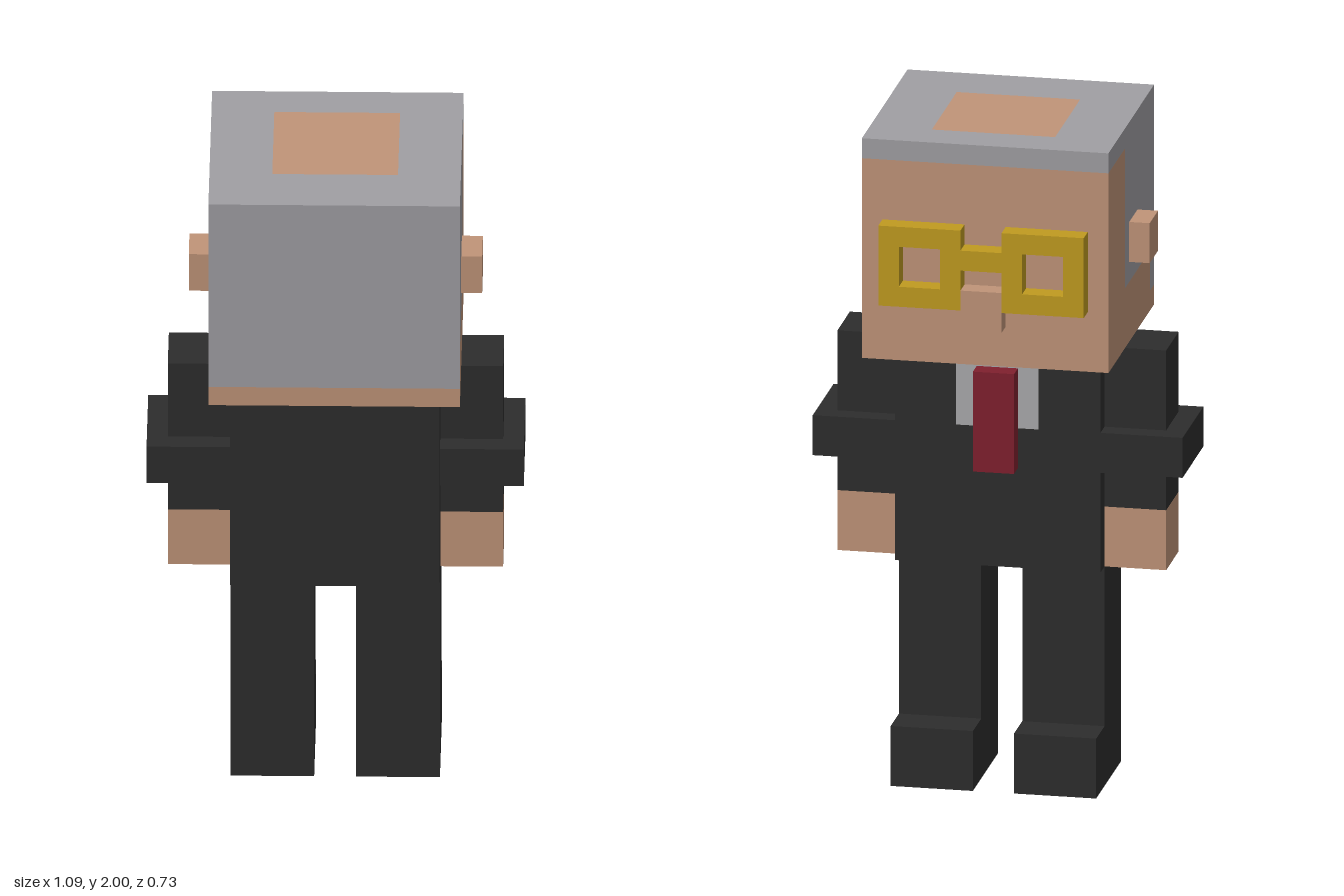
import * as THREE from 'three';

const U = 2 / 33; // one block unit

const mat = (name, color) => {
  const m = new THREE.MeshStandardMaterial({ color });
  m.name = name;
  return m;
};

// Shape from corner points in block units, with optional holes
function outline(points, holes = []) {
  const toVec = (p) => new THREE.Vector2(p[0] * U, p[1] * U);
  const shape = new THREE.Shape(points.map(toVec));
  for (const h of holes) shape.holes.push(new THREE.Path(h.map(toVec)));
  return shape;
}

const rect = (x0, y0, x1, y1) => [[x0, y0], [x1, y0], [x1, y1], [x0, y1]];

const extrude = (shape, depth) =>
  new THREE.ExtrudeGeometry(shape, { depth: depth * U, bevelEnabled: false });

export function createModel() {
  const model = new THREE.Group();
  model.name = 'blockMan';

  const skin = mat('skin', 0xc09478);
  const hair = mat('greyHair', 0xa09fa3);
  const black = mat('blackSuit', 0x2d2d2d);
  const gold = mat('goldFrame', 0xc09b20);
  const red = mat('redTie', 0x80202e);
  const shirt = mat('shirt', 0xaaaaac);

  const add = (name, geometry, material, parent = model) => {
    const mesh = new THREE.Mesh(geometry, material);
    mesh.name = name;
    parent.add(mesh);
    return mesh;
  };

  // Box given by its extents in block units
  const box = (name, material, [x0, x1], [y0, y1], [z0, z1], parent = model) => {
    const g = new THREE.BoxGeometry((x1 - x0) * U, (y1 - y0) * U, (z1 - z0) * U);
    g.translate(((x0 + x1) / 2) * U, ((y0 + y1) / 2) * U, ((z0 + z1) / 2) * U);
    return add(name, g, material, parent);
  };

  // Side profile (z, y) extruded across the full head width
  const headSlice = (name, material, points, parent) => {
    const g = extrude(outline(points), 12);
    g.rotateY(-Math.PI / 2);
    g.translate(6 * U, 0, 0);
    return add(name, g, material, parent);
  };

  // Head: face and jaw in skin, stepped hair around the back, cap with bald patch
  const head = new THREE.Group();
  head.name = 'head';
  model.add(head);
  headSlice('face', skin,
    [[-5, 22], [6, 22], [6, 23], [5, 23], [5, 25], [-1, 25], [-1, 32], [-5, 32]], head);
  headSlice('backHair', hair,
    [[5, 23], [6, 23], [6, 32], [-1, 32], [-1, 25], [5, 25]], head);
  const cap = extrude(outline(rect(-6, -6, 6, 5), [rect(-3, -3, 3, 3)]), 1);
  cap.rotateX(-Math.PI / 2);
  cap.translate(0, 32 * U, 0);
  add('hairCap', cap, hair, head);
  box('baldPatch', skin, [-3, 3], [32, 33], [-3, 3], head);
  box('nose', skin, [-1, 1], [24, 26], [-6, -5], head);

  // Glasses
  const glasses = new THREE.Group();
  glasses.name = 'glasses';
  head.add(glasses);
  box('glassesBridge', gold, [-1, 1], [27, 28], [-6, -5], glasses);

  // Shirt front and tie
  box('torso', black, [-5, 5], [11, 22], [-2, 4]);
  box('shirtFront', shirt, [-2, 2], [18, 22], [-2.07, -2]);
  box('tie', red, [-1, 1], [16, 21], [-3, -2]);

  // Mirrored parts
  for (const [side, s] of [['left', 1], ['right', -1]]) {
    const span = (a, b) => (s > 0 ? [a, b] : [-b, -a]);

    const [x0, x1] = span(1, 5);
    const [h0, h1] = span(2, 4);
    const rim = extrude(outline(rect(x0, 25, x1, 29), [rect(h0, 26, h1, 28)]), 1);
    rim.translate(0, 0, -6 * U);
    add(side + 'Rim', rim, gold, glasses);

    box(side + 'Ear', skin, span(6, 7), [26, 28], [0, 2], head);
    box(side + 'Sleeve', black, span(5, 8), [14, 22], [-1, 2]);
    box(side + 'SleeveBand', black, span(5, 9), [16, 18], [-2, 3]);
    box(side + 'Hand', skin, span(5, 8), [11, 14], [-1, 2]);
    box(side + 'Leg', black, span(1, 5), [0, 11], [-1, 3]);
    box(side + 'Shoe', black, span(1, 5), [0, 3], [-3, -1]);
  }

  return model;
}
